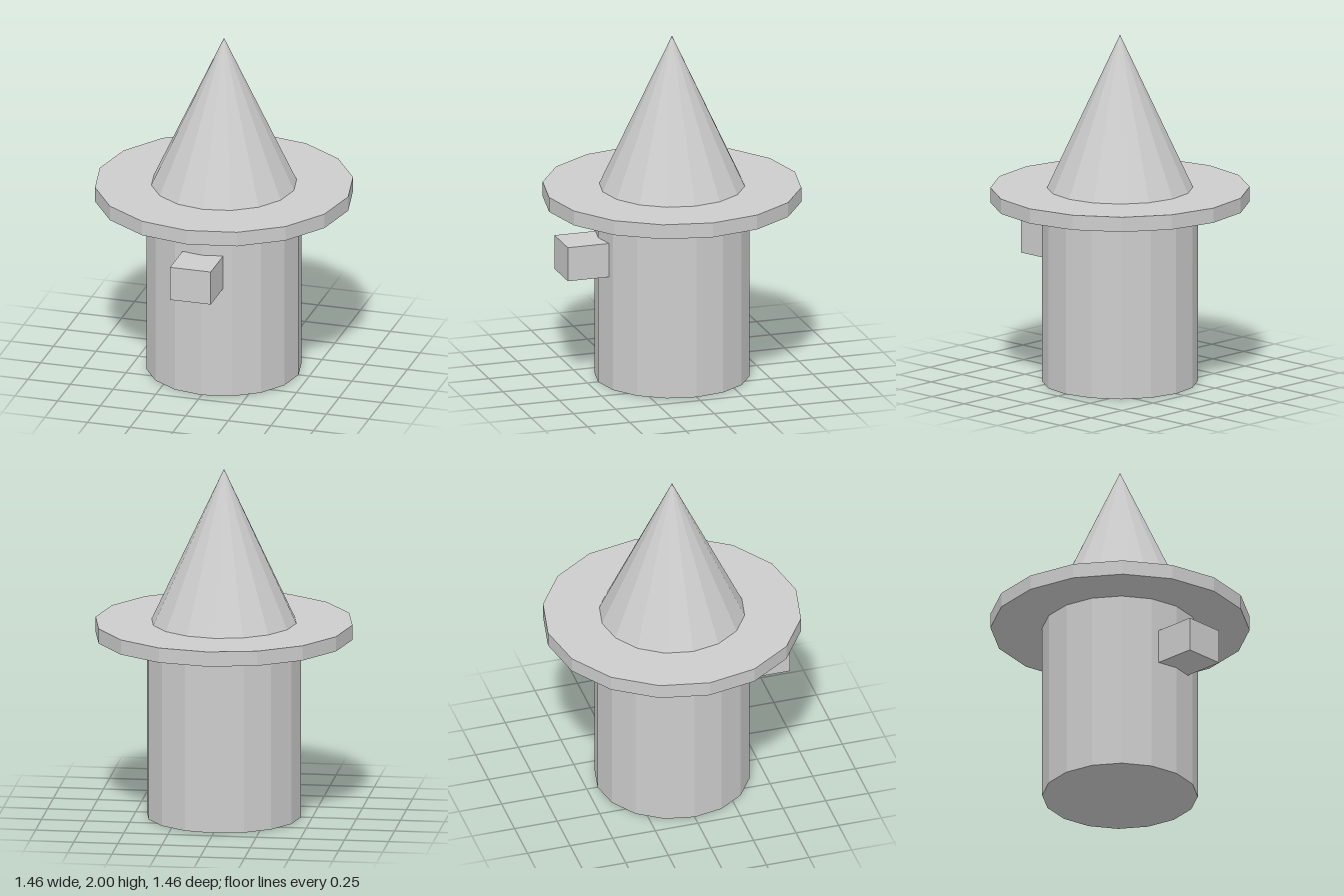
import * as THREE from 'three';

export function createModel() {
  const model = new THREE.Group();
  const SIDES = 16;
  const grey = new THREE.MeshStandardMaterial({ color: 0xcccccc, flatShading: true });
  grey.name = 'light grey';

  const add = (name, geometry, y, z = 0) => {
    const mesh = new THREE.Mesh(geometry, grey);
    mesh.name = name;
    mesh.position.set(0, y, z);
    model.add(mesh);
  };

  // round post standing on the ground
  add('body', new THREE.CylinderGeometry(0.437, 0.437, 1.035, SIDES), 1.035 / 2);
  // flat disc brim with a pointed crown
  add('hatBrim', new THREE.CylinderGeometry(0.728, 0.728, 0.085, SIDES), 1.0775);
  add('hatCone', new THREE.ConeGeometry(0.41, 0.88, SIDES), 1.56);
  // block nose, slightly sunk into the front of the body
  add('nose', new THREE.BoxGeometry(0.238, 0.198, 0.256), 0.753, 0.528);

  return model;
}
